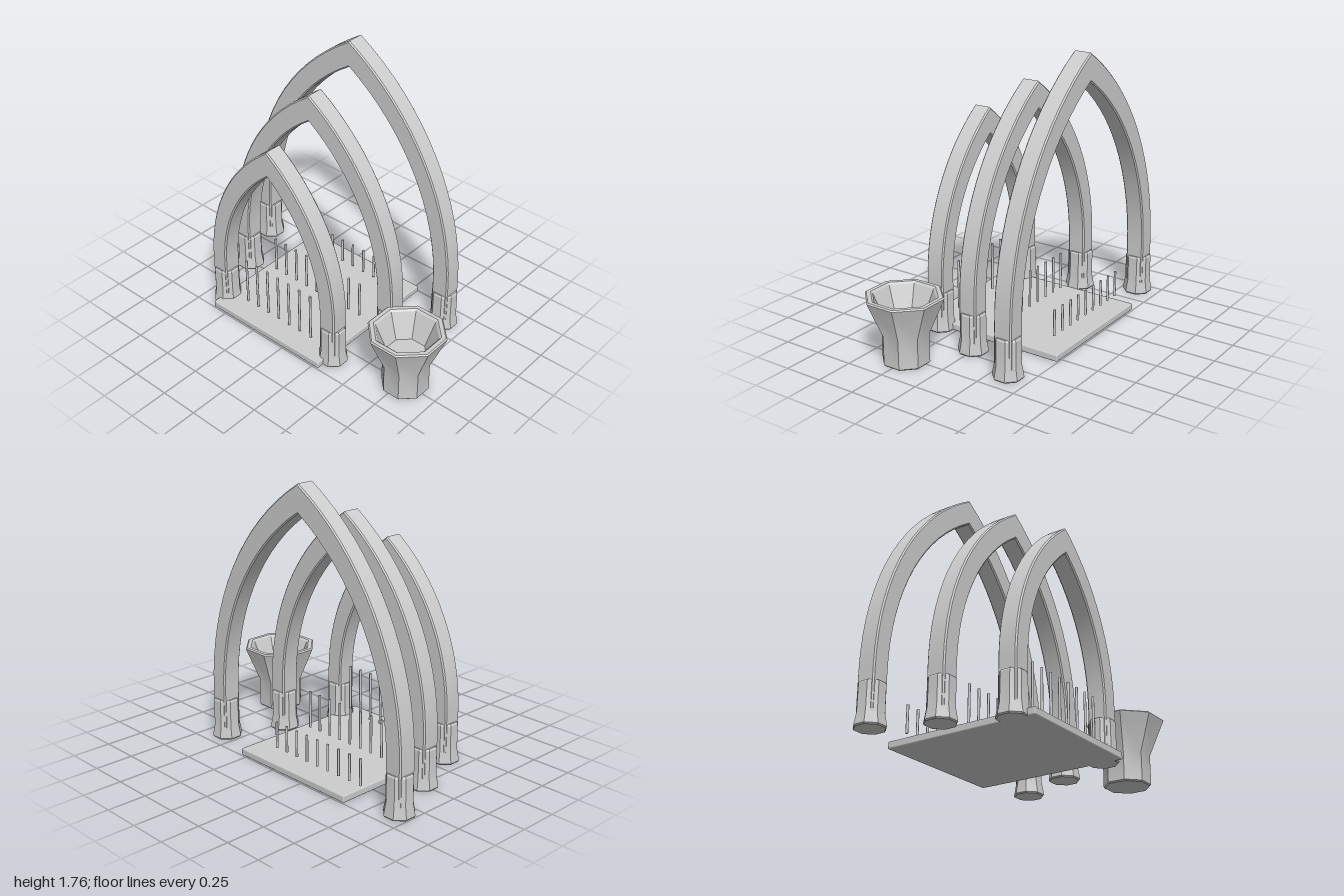
import * as THREE from 'three';
import { toCreasedNormals } from 'three/addons/utils/BufferGeometryUtils.js';
import { RoundedBoxGeometry } from 'three/addons/geometries/RoundedBoxGeometry.js';

const CX = -0.155; // shared centre line of arches and floor

export function createModel() {
  const model = new THREE.Group();
  const stone = new THREE.MeshStandardMaterial({ color: 0xcccccc });
  stone.name = 'pale stone';

  const add = (name, geometry, x, y, z, parent = model) => {
    const mesh = new THREE.Mesh(geometry, stone);
    mesh.name = name;
    mesh.position.set(x, y, z);
    parent.add(mesh);
    return mesh;
  };

  // Eight-sided turned solid with flats facing the axes; radii are measured to the flats
  const octagon = (profile) => {
    const pts = profile.map(([r, y]) => new THREE.Vector2(r / Math.cos(Math.PI / 8), y));
    return toCreasedNormals(new THREE.LatheGeometry(pts, 8, Math.PI / 8), 0.45);
  };

  // Points of a pointed curve, from right foot over the apex to left foot
  const pointedCurve = (half, apex, foot, spring) => {
    const h = apex - spring;
    const R = (h * h + half * half) / (2 * half);
    const end = Math.asin(h / R);
    const right = [new THREE.Vector2(half, foot)];
    for (let i = 0; i <= 16; i++) {
      const a = (end * i) / 16;
      right.push(new THREE.Vector2(half - R + R * Math.cos(a), spring + R * Math.sin(a)));
    }
    right[right.length - 1].x = 0;
    const left = right.slice(0, -1).reverse().map((p) => new THREE.Vector2(-p.x, p.y));
    return [...right, ...left];
  };

  const archGeometry = (half, apex) => {
    const outer = pointedCurve(half + 0.058, apex, 0.05, 0.33);
    const inner = pointedCurve(half - 0.058, apex - 0.172, 0.05, 0.33);
    const bevel = 0.008;
    const geo = new THREE.ExtrudeGeometry(new THREE.Shape([...outer, ...inner.reverse()]), {
      depth: 0.12 - 2 * bevel, bevelEnabled: true, bevelThickness: bevel,
      bevelSize: bevel, bevelOffset: -bevel, bevelSegments: 1,
    });
    geo.translate(0, 0, -0.06 + bevel);
    return toCreasedNormals(geo, 0.4);
  };

  // Flared column foot
  const column = octagon([
    [0, 0], [0.083, 0], [0.088, 0.008], [0.087, 0.02], [0.076, 0.085],
    [0.075, 0.25], [0.068, 0.26], [0, 0.26],
  ]);
  const rod = new THREE.CylinderGeometry(0.008, 0.008, 1, 8);

  // Three growing arches, each with two columns and a row of rods shifted by one step
  const rows = [
    { name: 'front', z: 0.36, half: 0.455, apex: 1.33, rodTop: 0.385, firstRod: -0.425 },
    { name: 'middle', z: 0, half: 0.605, apex: 1.545, rodTop: 0.31, firstRod: -0.515 },
    { name: 'back', z: -0.36, half: 0.755, apex: 1.76, rodTop: 0.235, firstRod: -0.605 },
  ];
  for (const r of rows) {
    const group = new THREE.Group();
    group.name = r.name + 'Row';
    model.add(group);
    add(r.name + 'Arch', archGeometry(r.half, r.apex), CX, 0, r.z, group);
    for (const s of [-1, 1]) {
      add(r.name + (s > 0 ? 'LeftColumn' : 'RightColumn'), column, CX + s * r.half, 0, r.z, group);
    }
    const length = r.rodTop - 0.065;
    for (let i = 0; i < 9; i++) {
      const m = add(r.name + 'Rod', rod, r.firstRod + i * 0.09, 0.065 + length / 2, r.z, group);
      m.scale.y = length;
    }
  }

  // Floor slab
  add('floor', new RoundedBoxGeometry(0.9, 0.045, 0.99, 2, 0.008), CX, 0.0225, 0);

  // Hollow octagonal basin
  add('basin', octagon([
    [0, 0], [0.128, 0], [0.135, 0.008], [0.135, 0.19], [0.219, 0.405], [0.222, 0.415],
    [0.214, 0.423], [0.19, 0.423], [0.178, 0.412], [0.115, 0.25], [0, 0.25],
  ]), 0.775, 0, 0.25);

  return model;
}
